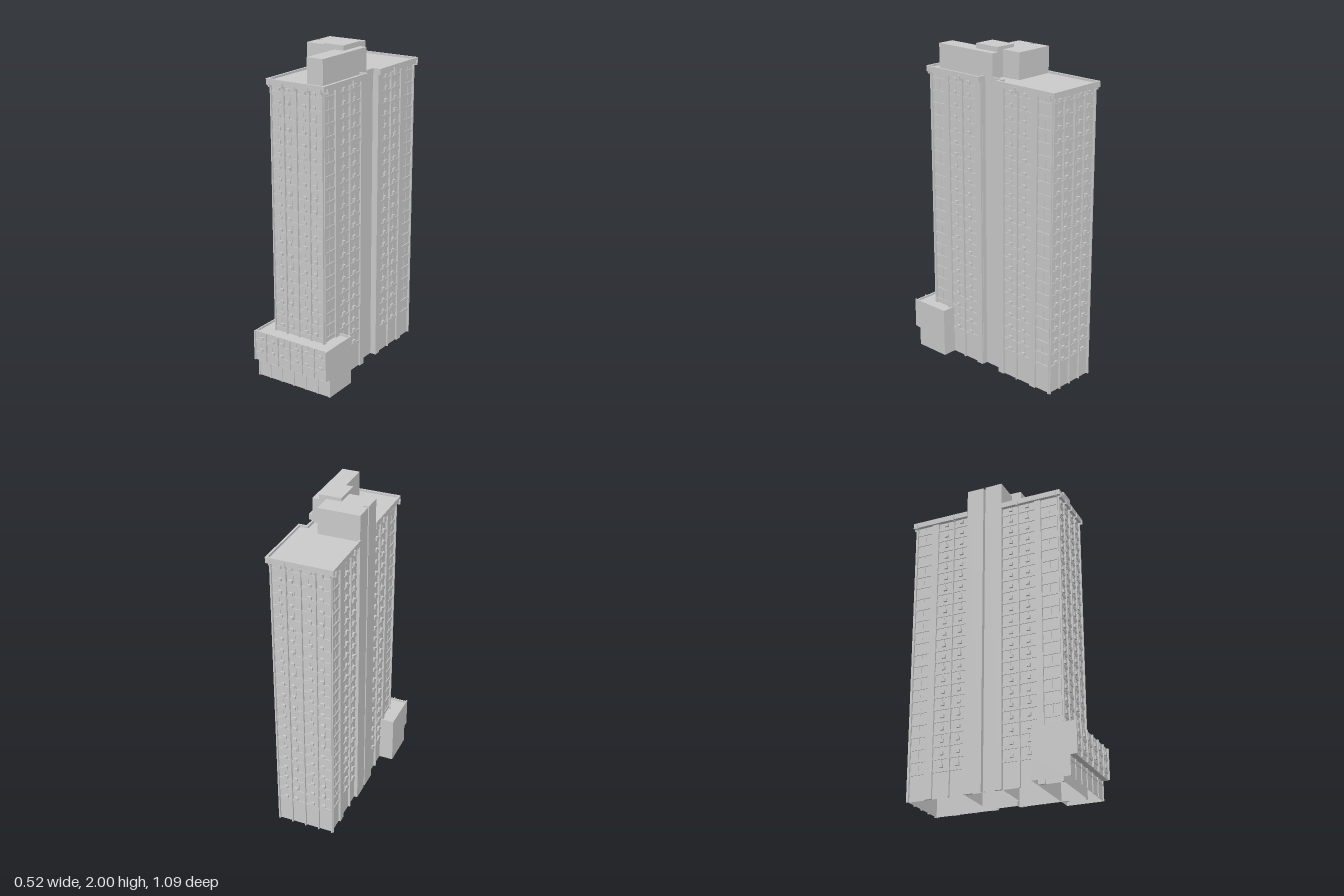
import * as THREE from 'three';
import { mergeGeometries } from 'three/addons/utils/BufferGeometryUtils.js';

const material = new THREE.MeshStandardMaterial({ color: 0xcccccc, flatShading: true, side: THREE.DoubleSide });

const FLOOR = 0.0758, FIRST = 0.19, FLOORS = 22, EAVE = 1.8;

function addMesh(parent, name, geometry) {
  const mesh = new THREE.Mesh(geometry, material);
  mesh.name = name;
  parent.add(mesh);
  return mesh;
}

// Box given by its limits on each axis
function box(x0, x1, y0, y1, z0, z1) {
  return new THREE.BoxGeometry(x1 - x0, y1 - y0, z1 - z0)
    .translate((x0 + x1) / 2, (y0 + y1) / 2, (z0 + z1) / 2);
}

const plan = (points) => points.map(([x, z]) => new THREE.Vector2(x, -z));
const rect = (x0, x1, z0, z1) => [[x0, z0], [x1, z0], [x1, z1], [x0, z1]];

// Upright prism over a floor plan of [x, z] points; lids: 2 both, 1 top only, 0 none
function prism(points, y0, y1, lids = 1, hole = null) {
  const shape = new THREE.Shape(plan(points));
  if (hole) shape.holes.push(new THREE.Path(plan(hole)));
  const geometry = new THREE.ExtrudeGeometry(shape, { depth: y1 - y0, bevelEnabled: false });
  const skip = geometry.groups[0].count * (2 - lids) / 2;
  for (const key of ['position', 'normal', 'uv']) {
    const a = geometry.attributes[key];
    geometry.setAttribute(key, new THREE.BufferAttribute(a.array.slice(skip * a.itemSize), a.itemSize));
  }
  geometry.clearGroups();
  return geometry.rotateX(-Math.PI / 2).translate(0, y0, 0);
}

// Facade in local space: u runs along the wall, +z points outward
function facade(name, spec) {
  const { fins, pilasters = [], bays, units, rows, y0, y1, depth, bracket } = spec;
  const group = new THREE.Group();
  group.name = name;
  const part = (label, list) => list.length && addMesh(group, label, mergeGeometries(list));

  part('fins', fins.map((u) => box(u - 0.004, u + 0.004, y0, y1, 0, depth)));
  part('pilasters', pilasters.map(([a, b]) => box(a, b, y0, y1, 0, depth - 0.001)));
  if (bracket) part('corniceBrackets', fins.map((u) => box(u - 0.004, u + 0.004, 1.79, 1.82, 0, bracket)));

  const spandrels = [], mullions = [], airUnits = [];
  for (const y of rows) {
    for (const [a, b] of bays) {
      spandrels.push(box(a, b, y - 0.036, y - 0.014, 0, 0.005));
      const mid = (a + b) / 2;
      mullions.push(box(mid - 0.002, mid + 0.002, y - 0.014, y + 0.04, 0, 0.003));
    }
    for (const u of units) airUnits.push(box(u - 0.011, u + 0.011, y - 0.011, y + 0.009, 0, depth - 0.001));
  }
  part('spandrels', spandrels);
  part('windowMullions', mullions);
  part('airConditioners', airUnits);
  return group;
}

function place(parent, group, x, z, angle) {
  group.position.set(x, 0, z);
  group.rotation.y = angle;
  parent.add(group);
}

// Bays between successive uprights
const between = (fins) => fins.slice(1).map((u, i) => [fins[i] + 0.004, u - 0.004]);

export function createModel() {
  const model = new THREE.Group();
  model.name = 'apartmentTower';
  const rows = Array.from({ length: FLOORS }, (_, i) => FIRST + i * FLOOR);

  // Tower body with the light well on one flank and a slot on the other
  addMesh(model, 'towerBody', prism([
    [-0.172, 0.44], [0.172, 0.44], [0.172, 0.025], [0.145, 0.025], [0.145, -0.11], [0.172, -0.11],
    [0.172, -0.515], [-0.172, -0.515], [-0.172, -0.05], [-0.165, -0.05], [-0.165, -0.035], [-0.172, -0.035],
  ], 0, 1.82));

  // Plain service core rising through the roof
  addMesh(model, 'serviceCore', prism([
    [-0.193, 0.075], [0.06, 0.075], [0.06, -0.16], [-0.193, -0.16],
    [-0.193, -0.05], [-0.165, -0.05], [-0.165, -0.035], [-0.193, -0.035],
  ], 0, 1.98));

  // Rooftop houses
  addMesh(model, 'longPenthouse', box(0.04, 0.147, 1.81, 1.97, -0.035, 0.4));
  addMesh(model, 'liftHouse', box(-0.03, 0.105, 1.81, 2.0, -0.035, 0.135));

  // Parapet following the roof outline, front and rear wings
  const parapet = (outer, inner) => prism([...outer, ...inner.reverse()], EAVE, 1.835, 2);
  addMesh(model, 'frontParapet', parapet(
    [[-0.193, 0.075], [-0.198, 0.075], [-0.198, 0.461], [0.198, 0.461], [0.198, 0.025], [0.147, 0.025]],
    [[-0.186, 0.075], [-0.186, 0.075], [-0.186, 0.449], [0.186, 0.449], [0.186, 0.037], [0.147, 0.037]]));
  addMesh(model, 'rearParapet', parapet(
    [[-0.198, -0.16], [-0.198, -0.54], [0.198, -0.54], [0.198, -0.11], [0.149, -0.11], [0.149, -0.035]],
    [[-0.186, -0.16], [-0.186, -0.528], [0.186, -0.528], [0.186, -0.122], [0.138, -0.122], [0.138, -0.035]]));
  // Roof decks reaching out to the parapets
  addMesh(model, 'frontRoof', box(-0.19, 0.19, 1.802, 1.822, 0.03, 0.455));
  addMesh(model, 'rearRoof', box(-0.19, 0.19, 1.802, 1.822, -0.533, -0.115));

  // Front and back facades
  const endFins = [-0.175, -0.0875, 0, 0.0875, 0.175];
  const endUnits = [-0.125, -0.06, 0.05, 0.12];
  const end = { fins: endFins, bays: between(endFins), units: endUnits, y1: EAVE, depth: 0.012, bracket: 0.027 };
  place(model, facade('frontFacade', { ...end, rows: rows.slice(2), y0: 0.12 }), 0, 0.44, 0);
  place(model, facade('backFacade', { ...end, rows, y0: 0, depth: 0.014 }), 0, -0.515, Math.PI);

  // Flank facades, listed by z and mirrored for each side
  for (const side of [1, -1]) {
    const u = (z) => -side * z;
    const span = ([a, b]) => [Math.min(u(a), u(b)), Math.max(u(a), u(b))];
    place(model, facade(side > 0 ? 'leftFacade' : 'rightFacade', {
      fins: [0.436, 0.18, -0.258, -0.516].map(u),
      pilasters: [[0.29, 0.33], [0.027, 0.07], [-0.155, -0.11], [-0.41, -0.365]].map(span),
      bays: [[0.33, 0.432], [0.184, 0.29], [0.07, 0.176],
        [-0.254, -0.155], [-0.365, -0.262], [-0.512, -0.41]].map(span),
      units: [0.24, 0.13, -0.205, -0.31].map(u),
      rows, y0: 0, y1: EAVE, depth: 0.013, bracket: 0.035,
    }), side * 0.172, 0, side * Math.PI / 2);
  }

  // Podium: overhanging upper storeys above a set-back ground floor
  const podium = new THREE.Group();
  podium.name = 'podium';
  model.add(podium);
  addMesh(podium, 'upperPodium', prism(rect(-0.262, 0.262, 0.285, 0.54), 0.12, 0.295));
  addMesh(podium, 'groundFloor', prism(rect(-0.262, 0.262, 0.285, 0.505), 0, 0.12, 0));
  addMesh(podium, 'soffit', box(-0.262, 0.262, 0.118, 0.122, 0.5, 0.54));
  addMesh(podium, 'podiumParapet', prism(rect(-0.262, 0.262, 0.285, 0.54), 0.29, 0.308, 2,
    rect(-0.254, 0.254, 0.293, 0.532)));
  const podiumFins = [-0.258, ...endFins, 0.258];
  place(podium, facade('podiumFacade', {
    fins: podiumFins, bays: between(podiumFins), units: [-0.21, ...endUnits, 0.22],
    rows: rows.slice(0, 2), y0: 0.12, y1: 0.308, depth: 0.011,
  }), 0, 0.54, 0);

  // Shopfront piers and lintel
  const piers = podiumFins.map((x) => box(x - 0.004, x + 0.004, 0, 0.12, 0.505, 0.511));
  piers.push(box(-0.262, 0.262, 0.09, 0.096, 0.505, 0.509));
  addMesh(podium, 'shopfrontPiers', mergeGeometries(piers));

  return model;
}
